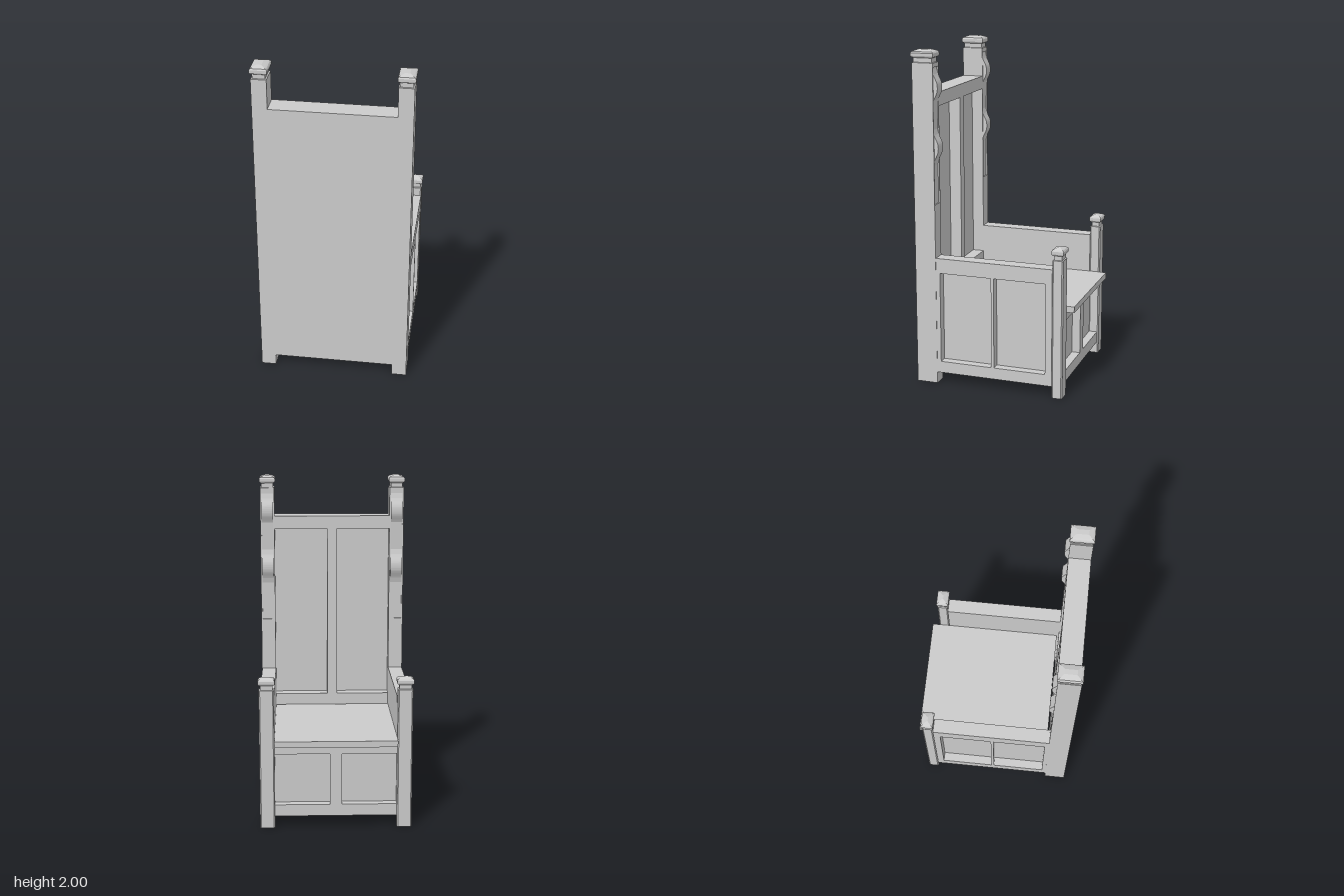
import * as THREE from 'three';

const mat = new THREE.MeshStandardMaterial({ color: 0xcccccc, flatShading: true, side: THREE.DoubleSide });

function add(group, name, geometry) {
  const mesh = new THREE.Mesh(geometry, mat);
  mesh.name = name;
  group.add(mesh);
  return mesh;
}

// Box given by its limits on each axis
function box(group, name, x0, x1, y0, y1, z0, z1) {
  const mesh = add(group, name, new THREE.BoxGeometry(x1 - x0, y1 - y0, z1 - z0));
  mesh.position.set((x0 + x1) / 2, (y0 + y1) / 2, (z0 + z1) / 2);
  return mesh;
}

// Post finial: rectangular rings [height, inset] lofted to a low hipped top
function finial(group, x, y, z, w, d) {
  const rings = [[0, 0], [0.005, 0.008], [0.03, 0.008], [0.036, -0.002], [0.042, -0.005],
    [0.058, -0.005], [0.066, 0], [0.07, 0.008], [0.078, 0.03]];
  const pos = [], index = [];
  for (const [h, inset] of rings) {
    const a = w / 2 - inset, b = d / 2 - Math.min(inset, d * 0.45);
    pos.push(-a, h, b, a, h, b, a, h, -b, -a, h, -b);
  }
  for (let r = 0; r < rings.length - 1; r++) {
    for (let i = 0; i < 4; i++) {
      const p = r * 4 + i, q = r * 4 + (i + 1) % 4;
      index.push(p, q, q + 4, p, q + 4, p + 4);
    }
  }
  const t = (rings.length - 1) * 4;
  index.push(t, t + 1, t + 2, t, t + 2, t + 3);
  const geo = new THREE.BufferGeometry();
  geo.setAttribute('position', new THREE.Float32BufferAttribute(pos, 3));
  geo.setIndex(index);
  geo.computeVertexNormals();
  add(group, 'finial', geo).position.set(x, y, z);
}

// Carved strip with two swelling bumps, set into the tall post
function carvedStrip(group, x0, x1) {
  const shape = new THREE.Shape();
  shape.moveTo(0.38, 1.1);
  shape.lineTo(0.358, 1.1);
  shape.lineTo(0.358, 1.33);
  for (const y of [1.36, 1.71]) {
    shape.lineTo(0.35, y);
    shape.bezierCurveTo(0.338, y + 0.03, 0.325, y + 0.04, 0.325, y + 0.075);
    shape.bezierCurveTo(0.325, y + 0.11, 0.338, y + 0.12, 0.35, y + 0.15);
    shape.lineTo(0.358, y + 0.18);
  }
  shape.lineTo(0.358, 1.9);
  shape.lineTo(0.38, 1.9);
  const geo = new THREE.ExtrudeGeometry(shape, { depth: x1 - x0, bevelEnabled: false, curveSegments: 8 });
  geo.rotateY(-Math.PI / 2);
  add(group, 'carvedStrip', geo).position.x = x1;
}

// Front post with lightly chamfered corners
function frontPost(group, x, z, w, d, h) {
  const c = 0.007, a = w / 2, b = d / 2;
  const shape = new THREE.Shape([[-a + c, -b], [a - c, -b], [a, -b + c], [a, b - c],
    [a - c, b], [-a + c, b], [-a, b - c], [-a, -b + c]].map(([u, v]) => new THREE.Vector2(u, v)));
  const geo = new THREE.ExtrudeGeometry(shape, { depth: h, bevelEnabled: false });
  geo.rotateX(-Math.PI / 2);
  add(group, 'frontPost', geo).position.set(x, 0, z);
}

function createModel() {
  const chair = new THREE.Group();
  chair.name = 'panelledHighBackChair';

  for (const s of [-1, 1]) {
    const side = new THREE.Group();
    side.name = s < 0 ? 'rightSide' : 'leftSide';
    chair.add(side);
    // Box with x limits measured outwards from the centre
    const b = (name, a, c, ...rest) => box(side, name, Math.min(s * a, s * c), Math.max(s * a, s * c), ...rest);

    // Tall back post, with a sunk field on the front for the carving
    b('backPost', 0.358, 0.446, 0, 1.925, 0.37, 0.478);
    b('backPostLowerFace', 0.358, 0.446, 0, 1.1, 0.35, 0.37);
    b('backPostUpperFace', 0.358, 0.446, 1.9, 1.925, 0.35, 0.37);
    b('backPostInnerLip', 0.358, 0.366, 1.1, 1.9, 0.35, 0.37);
    b('backPostOuterLip', 0.438, 0.446, 1.1, 1.9, 0.35, 0.37);
    carvedStrip(side, s < 0 ? -0.438 : 0.366, s < 0 ? -0.366 : 0.438);
    finial(side, s * 0.402, 1.922, 0.414, 0.088, 0.128);

    // Short front post
    frontPost(side, s * 0.402, -0.398, 0.088, 0.064, 0.835);
    finial(side, s * 0.402, 0.832, -0.398, 0.088, 0.064);

    // Side wall: inner panel, rails and stiles
    b('sidePanel', 0.358, 0.39, 0.07, 0.78, -0.366, 0.35);
    b('sideBottomRail', 0.39, 0.444, 0.07, 0.14, -0.366, 0.35);
    b('armRail', 0.39, 0.444, 0.69, 0.78, -0.366, 0.35);
    for (const [z0, z1] of [[-0.366, -0.325], [-0.01, 0.007], [0.325, 0.35]]) {
      b('sideStile', 0.39, 0.444, 0.14, 0.69, z0, z1);
    }
  }

  // Backrest: flat rear board with a two-panel frame in front of it
  box(chair, 'backBoard', -0.358, 0.358, 0.07, 1.75, 0.42, 0.478);
  box(chair, 'backTopRail', -0.358, 0.358, 1.67, 1.75, 0.35, 0.42);
  box(chair, 'backBottomRail', -0.358, 0.358, 0.07, 0.61, 0.35, 0.42);
  box(chair, 'backStile', -0.03, 0.03, 0.61, 1.67, 0.35, 0.42);

  // Seat board overhanging the front
  box(chair, 'seat', -0.358, 0.358, 0.505, 0.542, -0.474, 0.338);

  // Two-panel front below the seat
  box(chair, 'frontPanel', -0.358, 0.358, 0.07, 0.505, -0.37, -0.35);
  box(chair, 'frontBottomRail', -0.358, 0.358, 0.07, 0.14, -0.42, -0.37);
  box(chair, 'frontTopRail', -0.358, 0.358, 0.45, 0.505, -0.42, -0.37);
  box(chair, 'frontStile', -0.035, 0.035, 0.14, 0.45, -0.42, -0.37);

  return chair;
}

export { createModel };
